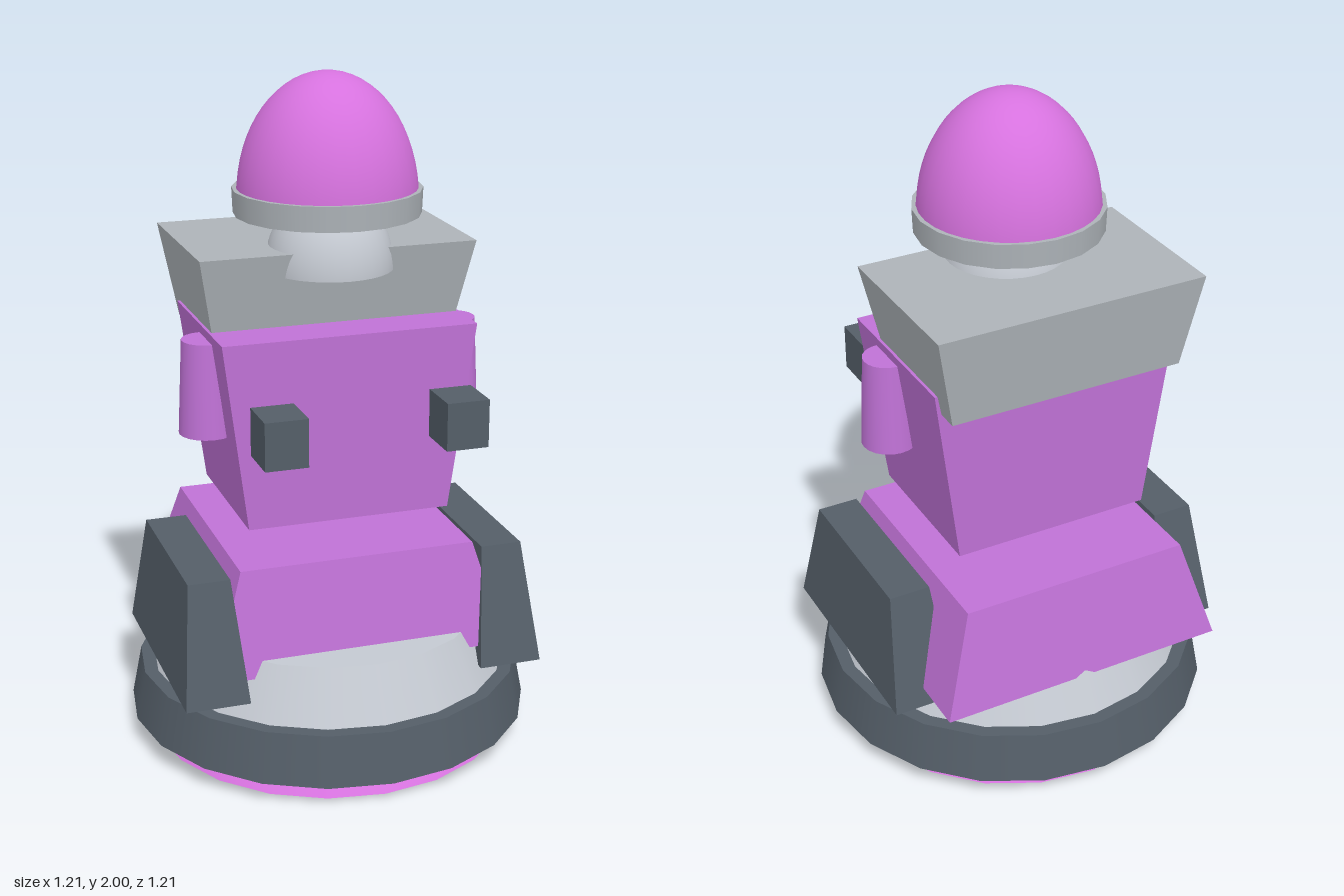
import * as THREE from 'three';

const mat = (name, color) => {
  const m = new THREE.MeshStandardMaterial({ color });
  m.name = name;
  return m;
};

export function createModel() {
  const pink = mat('pink', 0xd672de);
  const purple = mat('purple', 0xc072d6);
  const dark = mat('dark slate', 0x545e68);
  const grey = mat('grey', 0xadb3b8);
  const pale = mat('pale grey', 0xc4c9d1);

  const model = new THREE.Group();
  const add = (name, geometry, material, x = 0, y = 0, z = 0) => {
    const mesh = new THREE.Mesh(geometry, material);
    mesh.name = name;
    mesh.position.set(x, y, z);
    model.add(mesh);
    return mesh;
  };

  // Box with different rectangles [x0, x1, z0, z1] at its bottom and top
  const taperedBox = (y0, y1, bottom, top) => {
    const g = new THREE.BoxGeometry(1, 1, 1);
    const p = g.attributes.position;
    for (let i = 0; i < p.count; i++) {
      const up = p.getY(i) > 0;
      const r = up ? top : bottom;
      p.setXYZ(i, p.getX(i) > 0 ? r[1] : r[0], up ? y1 : y0, p.getZ(i) > 0 ? r[3] : r[2]);
    }
    g.computeVertexNormals();
    return g;
  };

  const drum = (rTop, rBottom, y0, y1) =>
    new THREE.CylinderGeometry(rTop, rBottom, y1 - y0, 20).translate(0, (y0 + y1) / 2, 0);

  // Upper half of an egg, closed underneath
  const halfEgg = (name, r, h, material, y, z) => {
    const g = new THREE.SphereGeometry(1, 32, 16, 0, Math.PI * 2, 0, Math.PI / 2).scale(r, h, r);
    add(name, g, material, 0, y, z);
    add(name + 'Underside', new THREE.CircleGeometry(r, 32).rotateX(Math.PI / 2), material, 0, y, z);
  };

  // Round base
  add('baseFoot', drum(0.475, 0.54, 0, 0.075), pink);
  add('baseRing', drum(0.578, 0.607, 0.07, 0.22), dark);
  add('baseCone', drum(0.46, 0.54, 0.215, 0.375), pale);

  // Body
  add('skirt', taperedBox(0.325, 0.64, [-0.45, 0.45, -0.48, 0.345], [-0.355, 0.355, -0.417, 0.29]), purple);
  add('torso', taperedBox(0.73, 1.29, [-0.305, 0.305, -0.27, 0.21], [-0.38, 0.38, -0.285, 0.225]), purple);

  // Mirrored side parts
  for (const s of [1, -1]) {
    const side = s > 0 ? 'left' : 'right';
    const span = (a, b, z0, z1) => (s > 0 ? [a, b, z0, z1] : [-b, -a, z0, z1]);
    add(side + 'SidePod', taperedBox(0.27, 0.62,
      span(0.355, 0.545, -0.32, 0.383), span(0.385, 0.51, -0.227, 0.29)), dark);
    add(side + 'Ear', new THREE.CylinderGeometry(0.07, 0.083, 0.28, 20), purple, s * 0.377, 1.12, 0.032);
    add(side + 'Eye', new THREE.BoxGeometry(0.125, 0.14, 0.14), dark, s * 0.264, 1.067, 0.385);
  }

  // Head block, neck and domed cap
  add('headBlock', taperedBox(1.23, 1.51, [-0.36, 0.36, -0.35, 0.07], [-0.413, 0.413, -0.384, 0.126]), grey);
  halfEgg('neck', 0.187, 0.225, pale, 1.44, 0.02);
  add('capRim', drum(0.275, 0.272, 1.597, 1.67), grey);
  halfEgg('capDome', 0.262, 0.36, pink, 1.64, 0);

  return model;
}
